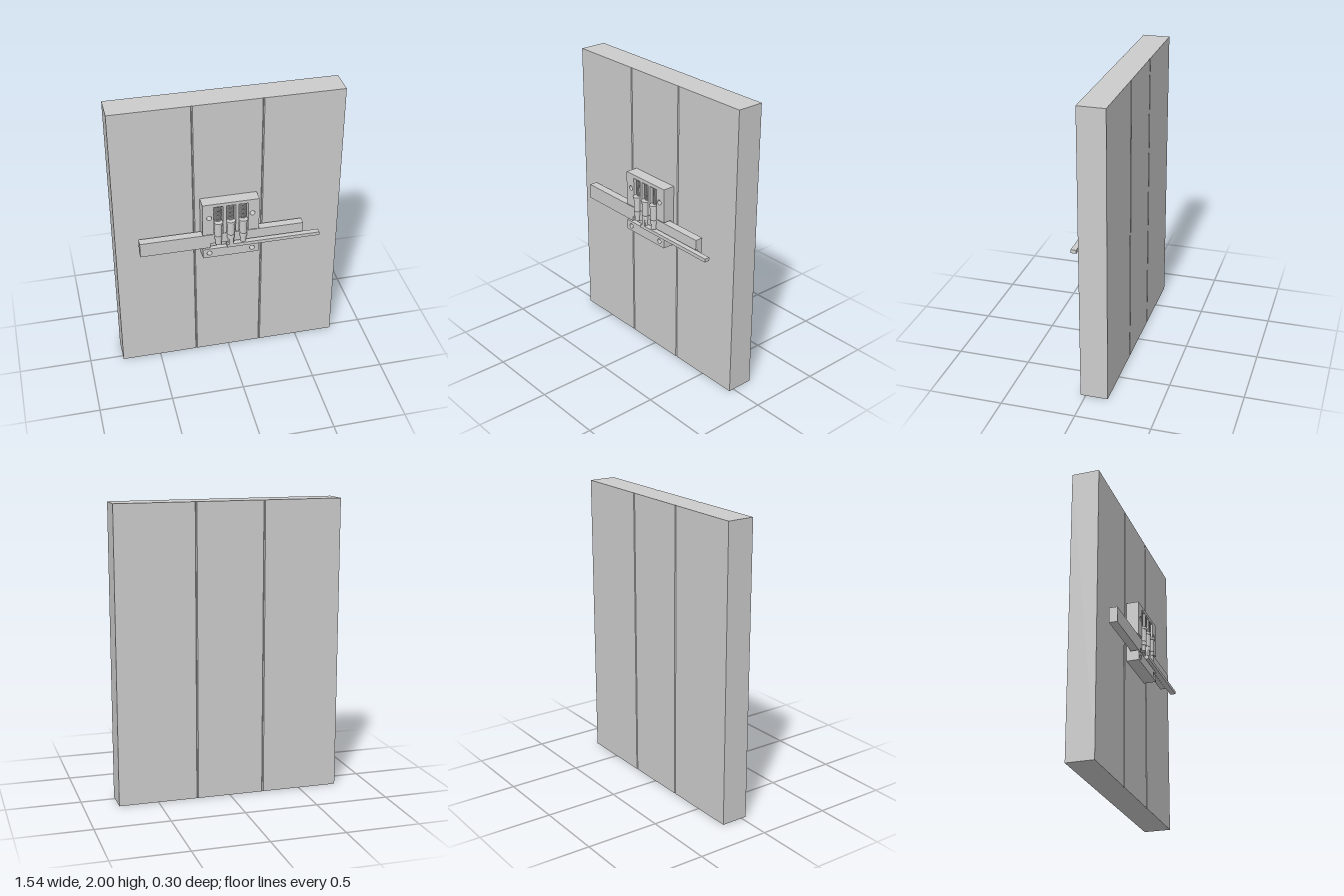
import * as THREE from 'three';

export function createModel() {
  const root = new THREE.Group();
  const grey = new THREE.MeshStandardMaterial({ color: 0xcccccc });
  grey.name = 'plain grey';

  function add(name, geometry, parent = root) {
    const mesh = new THREE.Mesh(geometry, grey);
    mesh.name = name;
    parent.add(mesh);
    return mesh;
  }
  // Box given by its limits on each axis
  function block(name, x0, x1, y0, y1, z0, z1, parent) {
    const g = new THREE.BoxGeometry(x1 - x0, y1 - y0, z1 - z0);
    g.translate((x0 + x1) / 2, (y0 + y1) / 2, (z0 + z1) / 2);
    return add(name, g, parent);
  }
  // Flat outline extruded along z
  function slab(points, z0, z1, holes = []) {
    const s = new THREE.Shape(points.map(p => new THREE.Vector2(...p)));
    for (const [x, y, r] of holes) {
      const h = new THREE.Path();
      h.absarc(x, y, r, 0, Math.PI * 2, true);
      s.holes.push(h);
    }
    const g = new THREE.ExtrudeGeometry(s, { depth: z1 - z0, bevelEnabled: false, curveSegments: 12 });
    return g.translate(0, 0, z0);
  }

  // Door: three upright planks with narrow chamfers along the joints
  const door = new THREE.Group();
  door.name = 'door';
  root.add(door);
  const edges = [-0.768, -0.235, 0.228, 0.768];
  const zb = -0.15, zf = 0.035, c = 0.006;
  for (let i = 0; i < 3; i++) {
    const a = edges[i], b = edges[i + 1];
    const l = i > 0 ? c : 0, r = i < 2 ? c : 0;
    const outline = [[a + l, -zf], [b - r, -zf]];
    if (r) outline.push([b, -zf + c], [b, -zb - c]);
    outline.push([b - r, -zb], [a + l, -zb]);
    if (l) outline.push([a, -zb - c], [a, -zf + c]);
    const g = slab(outline, 0, 2);
    g.rotateX(-Math.PI / 2);
    add('plank', g, door);
  }

  // Lock case: back plate, upper block with three pin slots, lower block
  const lock = new THREE.Group();
  lock.name = 'lockCase';
  root.add(lock);
  const pinXs = [-0.087, -0.002, 0.083];
  const L = -0.194, R = 0.19, hw = 0.032, zm = 0.058, zTop = 0.12;
  const holeXs = [-0.149, 0.144];
  block('backPlate', L, R, 0.875, 1.302, zf, zm, lock);
  const upper = [[L, 1.063]];
  for (const x of pinXs) upper.push([x - hw, 1.063], [x - hw, 1.278], [x + hw, 1.278], [x + hw, 1.063]);
  upper.push([R, 1.063], [R, 1.302], [L, 1.302]);
  add('upperBlock', slab(upper, zm, zTop, holeXs.map(x => [x, 1.195, 0.017])), lock);
  add('lowerBlock', slab([[L, 0.875], [R, 0.875], [R, 0.944], [L, 0.944]], zm, zTop,
    holeXs.map(x => [x, 0.91, 0.017])), lock);

  // Sliding bolt with a key channel along its lower front edge
  const bolt = new THREE.Group();
  bolt.name = 'bolt';
  root.add(bolt);
  block('boltBack', -0.615, 0.498, 0.952, 1.056, 0.06, 0.098, bolt);
  add('boltFront', slab([[-0.615, 0.952], [-0.14, 0.952], [-0.14, 0.985], [0.498, 0.985],
    [0.498, 1.056], [-0.615, 1.056]], 0.098, 0.115), bolt);

  // Key bar with an upright tooth
  const key = new THREE.Group();
  key.name = 'key';
  root.add(key);
  block('keyBar', -0.03, 0.61, 0.951, 0.975, 0.1, 0.137, key);
  block('keyTooth', -0.016, 0.012, 0.975, 1.02, 0.112, 0.137, key);

  // Turned pins, each pressed down by a tight coil spring
  const profile = [[0, 0.98], [0.02, 0.98], [0.02, 1.02], [0.025, 1.02], [0.025, 1.042],
    [0.023, 1.048], [0.025, 1.054], [0.025, 1.138], [0.03, 1.138], [0.03, 1.155], [0, 1.155]];
  class Coil extends THREE.Curve {
    getPoint(t, target = new THREE.Vector3()) {
      const a = t * 16 * Math.PI * 2;
      return target.set(0.023 * Math.cos(a), 1.158 + 0.115 * t, 0.023 * Math.sin(a));
    }
  }
  for (const x of pinXs) {
    const unit = new THREE.Group();
    unit.name = 'pinUnit';
    unit.position.x = x;
    root.add(unit);
    // One lathe band per profile step keeps the shoulders sharp
    for (let i = 0; i < profile.length - 1; i++) {
      const pts = [profile[i], profile[i + 1]].map(p => new THREE.Vector2(...p));
      add('pin', new THREE.LatheGeometry(pts, 24), unit).position.z = 0.115;
    }
    add('spring', new THREE.TubeGeometry(new Coil(), 320, 0.0028, 6), unit).position.z = 0.09;
  }
  return root;
}
